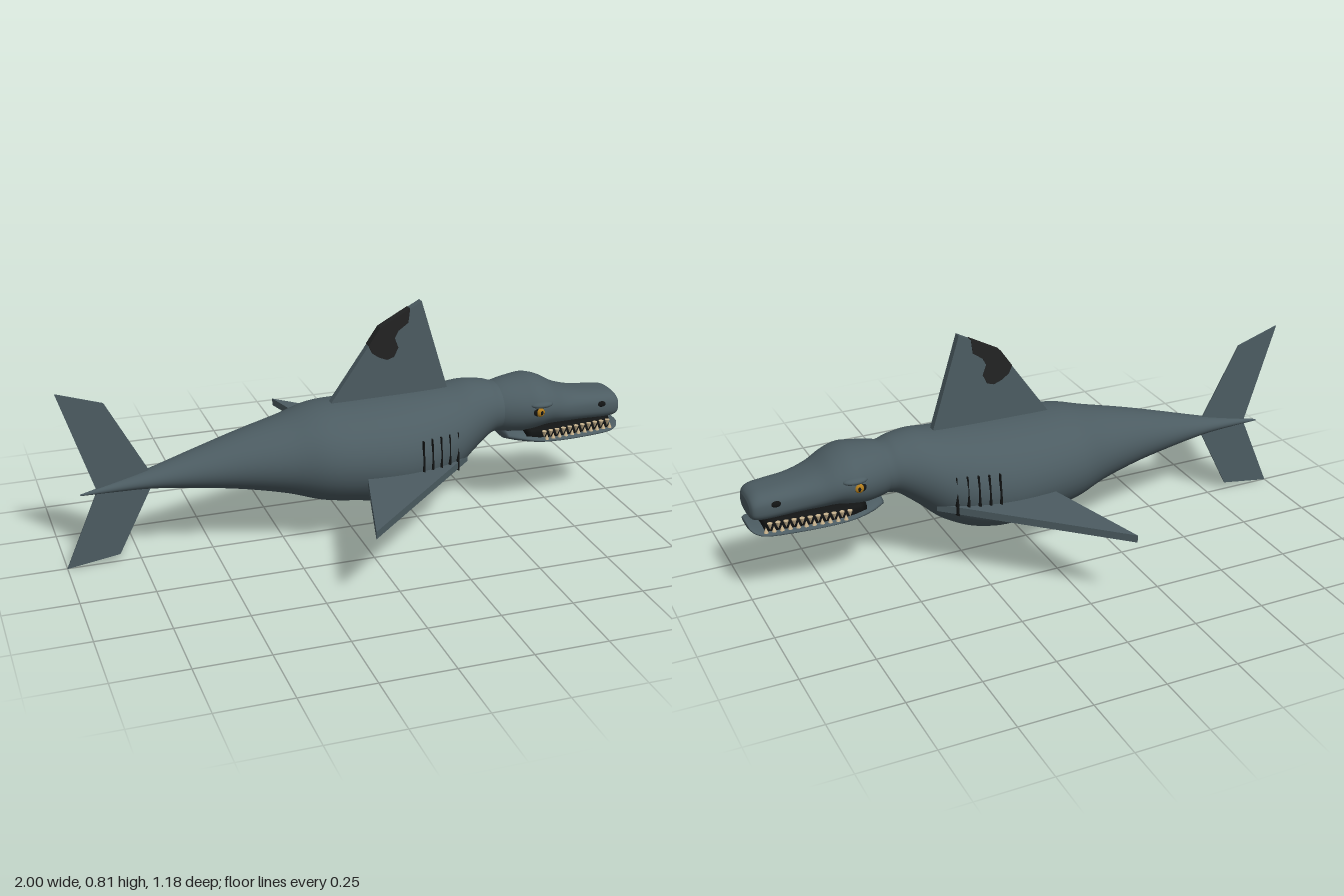
import * as THREE from 'three';

const paint = (name, color) => Object.assign(new THREE.MeshStandardMaterial({ color }), { name });
const skin = paint('slate skin', 0x4c5c62);
const black = paint('slit black', 0x121414);
const scar = paint('scar charcoal', 0x222323);
const ivory = paint('ivory teeth', 0xc9b48e);
const amber = paint('amber eye', 0xb07c1c);

// Smooth skin along x through sections [x, bottom, top, half width, roundness]
function loft(sections, steps, sides = 40) {
  const a = new THREE.CatmullRomCurve3(sections.map(s => new THREE.Vector3(s[0], s[1], s[2])), false, 'catmullrom', 0.5);
  const b = new THREE.CatmullRomCurve3(sections.map(s => new THREE.Vector3(s[0], s[3], s[4] ?? 1)), false, 'catmullrom', 0.5);
  const pos = [], index = [];
  const pow = (v, p) => Math.sign(v) * Math.abs(v) ** p;
  for (let i = 0; i <= steps; i++) {
    const p = a.getPoint(i / steps), q = b.getPoint(i / steps);
    for (let j = 0; j < sides; j++) {
      const t = j / sides * Math.PI * 2;
      pos.push(p.x, (p.y + p.z) / 2 + (p.z - p.y) / 2 * pow(Math.sin(t), q.z), q.y * pow(Math.cos(t), q.z));
    }
  }
  for (let i = 0; i < steps; i++) for (let j = 0; j < sides; j++) {
    const k = (j + 1) % sides, m = i * sides, n = m + sides;
    index.push(m + j, n + j, m + k, n + j, n + k, m + k);
  }
  // End caps
  for (const [i, s] of [[0, sections[0]], [steps, sections.at(-1)]]) {
    const c = pos.length / 3;
    pos.push(s[0], (s[1] + s[2]) / 2, 0);
    for (let j = 0; j < sides; j++) {
      const u = i * sides + j, v = i * sides + (j + 1) % sides;
      index.push(c, i ? v : u, i ? u : v);
    }
  }
  const g = new THREE.BufferGeometry();
  g.setAttribute('position', new THREE.Float32BufferAttribute(pos, 3));
  g.setIndex(index);
  g.computeVertexNormals();
  return g;
}

// Flat plate from an outline, centred on its thickness
function plate(points, depth) {
  const shape = new THREE.Shape(points.map(p => new THREE.Vector2(...p)));
  return new THREE.ExtrudeGeometry(shape, { depth, bevelEnabled: false }).translate(0, 0, -depth / 2);
}

export function createModel() {
  const model = new THREE.Group();
  const add = (name, geometry, material, parent = model) => {
    const mesh = new THREE.Mesh(geometry, material);
    mesh.name = name;
    parent.add(mesh);
    return mesh;
  };

  // Body and neck
  add('body', loft([
    [-0.94, 0.262, 0.268, 0.002], [-0.82, 0.262, 0.296, 0.02], [-0.7, 0.26, 0.327, 0.045],
    [-0.55, 0.243, 0.372, 0.078], [-0.4, 0.22, 0.415, 0.113], [-0.25, 0.187, 0.452, 0.155],
    [-0.13, 0.15, 0.482, 0.2], [0, 0.13, 0.486, 0.217], [0.13, 0.111, 0.488, 0.22],
    [0.24, 0.127, 0.49, 0.203], [0.34, 0.175, 0.494, 0.172], [0.42, 0.245, 0.504, 0.14],
    [0.49, 0.3, 0.497, 0.112], [0.53, 0.31, 0.486, 0.1], [0.6, 0.32, 0.48, 0.09]], 70), skin);

  // Head with upper snout
  add('head', loft([
    [0.5, 0.32, 0.475, 0.085], [0.55, 0.305, 0.49, 0.106], [0.61, 0.3, 0.498, 0.126],
    [0.66, 0.308, 0.5, 0.136], [0.71, 0.316, 0.485, 0.126], [0.77, 0.318, 0.451, 0.106, 0.9],
    [0.84, 0.318, 0.43, 0.09, 0.8], [0.92, 0.316, 0.421, 0.085, 0.75], [0.965, 0.316, 0.416, 0.081, 0.75],
    [0.988, 0.322, 0.403, 0.072, 0.75], [0.997, 0.335, 0.385, 0.052, 0.8]], 56), skin);

  // Lower jaw and dark mouth lining
  add('lowerJaw', loft([
    [0.553, 0.284, 0.32, 0.075], [0.6, 0.276, 0.322, 0.105], [0.67, 0.268, 0.304, 0.115],
    [0.76, 0.262, 0.293, 0.108], [0.87, 0.259, 0.29, 0.095], [0.95, 0.262, 0.291, 0.085],
    [0.985, 0.272, 0.296, 0.07], [1, 0.285, 0.298, 0.045]], 36), skin);
  add('mouthLining', loft([
    [0.62, 0.285, 0.33, 0.1, 0.5], [0.7, 0.28, 0.33, 0.101, 0.5],
    [0.85, 0.275, 0.33, 0.083, 0.5], [0.955, 0.275, 0.33, 0.072, 0.5]], 12), black);

  // Dorsal fin with a dark scar wrapped over its edge
  add('dorsalFin', plate([[-0.08, 0.47], [-0.075, 0.485], [0.1, 0.735], [0.248, 0.816], [0.35, 0.485], [0.35, 0.45]], 0.026), skin);
  add('dorsalScar', plate([[0.058, 0.677], [0.099, 0.737], [0.206, 0.795], [0.2, 0.745], [0.165, 0.72],
    [0.152, 0.695], [0.165, 0.66], [0.15, 0.628], [0.125, 0.62], [0.095, 0.632], [0.07, 0.65]], 0.03), scar);

  // Tail fin
  add('tailFin', plate([[-1, 0.63], [-0.845, 0.58], [-0.69, 0.29], [-0.82, 0.03], [-1, 0.003], [-0.885, 0.272]], 0.005), skin);

  for (const side of [1, -1]) {
    const half = new THREE.Group();
    half.name = side > 0 ? 'leftSide' : 'rightSide';
    model.add(half);

    // Pectoral fin
    add('pectoralFin', plate([[-0.115, side * 0.592], [0.385, side * 0.125], [0.02, side * 0.1]], 0.026)
      .rotateX(Math.PI / 2).translate(0, 0.267, 0), skin, half);

    // Gill slits, pointed at the top
    [0.215, 0.207, 0.199, 0.187, 0.174].forEach((z, i) => {
      const slit = add('gillSlit', new THREE.CylinderGeometry(0.35, 1, 1, 8), black, half);
      slit.scale.set(0.007, 0.135, 0.022);
      slit.position.set(0.19 + i * 0.035, 0.318, side * (z - 0.012));
    });

    // Eye, pupil and brow
    const ball = (name, r, p, s, m) => {
      const mesh = add(name, new THREE.SphereGeometry(r, 20, 14), m, half);
      mesh.position.set(p[0], p[1], side * p[2]);
      mesh.scale.set(...s);
    };
    ball('eyeSocket', 0.024, [0.652, 0.404, 0.126], [1.1, 0.8, 0.5], black);
    ball('eye', 0.017, [0.653, 0.404, 0.13], [1, 1, 0.7], amber);
    ball('pupil', 0.007, [0.655, 0.404, 0.139], [0.8, 1.2, 0.7], black);
    ball('brow', 0.03, [0.662, 0.428, 0.119], [1.4, 0.42, 0.75], skin);
    ball('nostril', 0.015, [0.915, 0.382, 0.081], [1.2, 0.75, 0.45], black);

    // Interlocking upper and lower teeth
    for (let i = 0; i < 11; i++) {
      const x = 0.682 + i * 0.026, z = side * (0.111 - i * 0.0027);
      const upper = add('upperTooth', new THREE.ConeGeometry(0.009, 0.024, 8), ivory, half);
      upper.position.set(x, 0.309, z);
      upper.rotation.x = Math.PI;
      const lower = add('lowerTooth', new THREE.ConeGeometry(0.008, 0.02, 8), ivory, half);
      lower.position.set(x + 0.013, 0.297, z - side * 0.004);
    }
  }
  return model;
}
